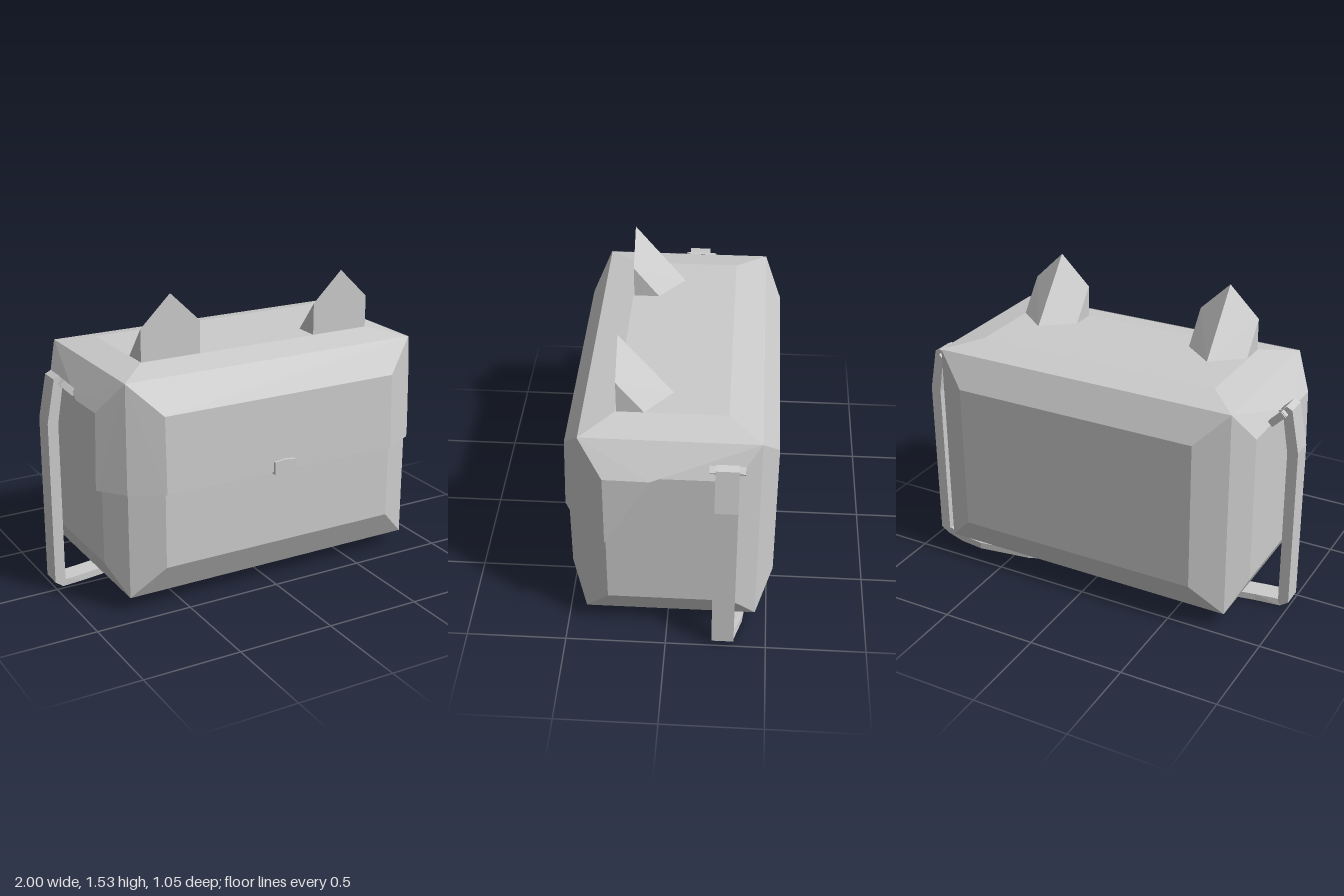
import * as THREE from 'three';

const V = (x, y, z) => new THREE.Vector3(x, y, z);
const material = new THREE.MeshStandardMaterial({ color: 0xcccccc, flatShading: true });
const thinMaterial = new THREE.MeshStandardMaterial({ color: 0xcccccc, flatShading: true, side: THREE.DoubleSide });

// Flat faces (3+ corners each), turned to point away from their centre
function facesToGeometry(groups) {
  const pos = [];
  for (const { faces, centre } of groups) {
    for (const f of faces) {
      for (let i = 1; i < f.length - 1; i++) {
        const [a, b, c] = [f[0], f[i], f[i + 1]];
        const n = b.clone().sub(a).cross(c.clone().sub(a));
        const mid = a.clone().add(b).add(c).divideScalar(3).sub(centre);
        for (const p of n.dot(mid) < 0 ? [a, c, b] : [a, b, c]) pos.push(p.x, p.y, p.z);
      }
    }
  }
  const g = new THREE.BufferGeometry();
  g.setAttribute('position', new THREE.Float32BufferAttribute(pos, 3));
  g.computeVertexNormals();
  return g;
}

function part(name, geometry, mat = material) {
  const m = new THREE.Mesh(geometry, mat);
  m.name = name;
  return m;
}

const C = V(0.03, 0.63, -0.017); // centre of the bag
const HALF = [0.81, 0.55, 0.425];

// Box whose faces each carry a raised (or sunken) inset panel
function bodyGeometry() {
  const at = (axis, d, u, v) => {
    const p = C.clone();
    p.setComponent(axis, p.getComponent(axis) + d);
    p.setComponent((axis + 1) % 3, p.getComponent((axis + 1) % 3) + u);
    p.setComponent((axis + 2) % 3, p.getComponent((axis + 2) % 3) + v);
    return p;
  };
  const panels = [ // axis, offset of panel, half sizes on the next two axes
    [0, 0.89, 0.39, 0.305], [0, -0.89, 0.39, 0.305],
    [1, 0.585, 0.265, 0.65], [1, -0.51, 0.265, 0.65],
    [2, 0.508, 0.65, 0.39], [2, -0.508, 0.65, 0.39],
  ];
  const signs = [[1, 1], [-1, 1], [-1, -1], [1, -1]];
  const faces = [];
  for (const [axis, d, u, v] of panels) {
    const rim = signs.map(([a, b]) => at(axis, Math.sign(d) * HALF[axis], a * HALF[(axis + 1) % 3], b * HALF[(axis + 2) % 3]));
    const inset = signs.map(([a, b]) => at(axis, d, a * u, b * v));
    faces.push(inset);
    for (let i = 0; i < 4; i++) {
      const j = (i + 1) % 4;
      faces.push([rim[i], rim[j], inset[j], inset[i]]);
    }
  }
  return facesToGeometry([{ faces, centre: C }]);
}

// Front flap wrapping round both sides, with a lip closing it to the body
function flapGeometry() {
  const faces = [];
  const P = (s, x, y, z) => V(C.x + s * x, y, z);
  const pts = (s) => ({
    A: P(s, 0.81, 1.182, 0.41), F: P(s, 0.65, 1.02, 0.497), G: P(s, 0.65, 0.63, 0.51),
    K: P(s, 0.818, 0.63, 0.422), B: P(s, 0.912, 1.02, 0.29), D: P(s, 0.915, 1.02, 0.07),
    L: P(s, 0.922, 0.63, 0.29), E: P(s, 0.81, 1.18, -0.44),
    g: P(s, 0.65, 0.63, 0.49), k: P(s, 0.81, 0.63, 0.408), l: P(s, 0.89, 0.63, 0.285), d: P(s, 0.888, 1.02, 0.07),
  });
  const [l, r] = [pts(1), pts(-1)];
  faces.push([l.A, r.A, r.F, l.F], [l.F, r.F, r.G, l.G], [l.G, r.G, r.g, l.g]);
  for (const q of [l, r]) {
    faces.push([q.A, q.F, q.G, q.K], [q.A, q.K, q.L, q.B], [q.B, q.L, q.D],
      [q.A, q.B, q.D, q.E], [q.G, q.K, q.k, q.g], [q.K, q.L, q.l, q.k],
      [q.L, q.D, q.d, q.l], [q.D, q.E, q.d]);
  }
  return facesToGeometry([{ faces, centre: C }]);
}

// Upright gable front with a roof sloping down to a point behind
function earGeometry() {
  const y = 1.21, z = 0.243;
  const front = [V(-0.16, y, z), V(0.16, y, z), V(0.16, 1.38, z), V(0, 1.535, z), V(-0.16, 1.38, z)];
  const tail = V(0, y, -0.02), bl = V(-0.16, y, 0.11), br = V(0.16, y, 0.11);
  const faces = [front, [front[0], front[4], bl], [front[1], front[2], br],
    [front[4], front[3], tail, bl], [front[2], front[3], tail, br], [front[0], front[1], br, tail, bl]];
  return facesToGeometry([{ faces, centre: V(0, 1.3, 0.15) }]);
}

// Flat strap swept through stations: outer x, y, inner x, y, centre z
function strapGeometry() {
  const left = [
    [0.925, 1.125, 0.895, 1.085, -0.285], [0.955, 1.11, 0.912, 1.065, -0.285],
    [0.997, 0.89, 0.942, 0.88, -0.285], [0.997, 0.03, 0.942, 0.035, -0.285],
    [0.955, 0, 0.935, 0.036, -0.285],
  ];
  const right = left.map(([a, b, c, d]) => [-a - 0.003, b, -c - 0.003, d, -0.075]).reverse();
  const wave = [[0.83, -0.325], [0.7, -0.34], [0.42, -0.3], [0.24, -0.23], [0.02, -0.11],
    [-0.22, -0.012], [-0.48, -0.075], [-0.71, -0.11], [-0.825, -0.09]];
  const stations = [...left, ...wave.map(([x, z]) => [x, 0, x, 0.036, z]), ...right];
  const rings = stations.map(([ox, oy, ix, iy, z]) =>
    [V(ox, oy, z - 0.055), V(ox, oy, z + 0.055), V(ix, iy, z + 0.055), V(ix, iy, z - 0.055)]);
  const groups = [];
  for (let i = 0; i < rings.length - 1; i++) {
    const [a, b] = [rings[i], rings[i + 1]];
    const centre = V(0, 0, 0);
    for (const p of [...a, ...b]) centre.addScaledVector(p, 1 / 8);
    const faces = [0, 1, 2, 3].map((j) => [a[j], a[(j + 1) % 4], b[(j + 1) % 4], b[j]]);
    if (i === 0) faces.push(a);
    if (i === rings.length - 2) faces.push(b);
    groups.push({ faces, centre });
  }
  return facesToGeometry(groups);
}

export function createModel() {
  const model = new THREE.Group();
  model.name = 'satchel';
  model.add(part('body', bodyGeometry()));
  model.add(part('flap', flapGeometry(), thinMaterial));
  model.add(part('strap', strapGeometry()));

  for (const s of [1, -1]) {
    const ear = part(s > 0 ? 'leftEar' : 'rightEar', earGeometry());
    ear.position.x = 0.0325 + s * 0.4875;
    model.add(ear);

    // Strap loop: cross bar with two short arms reaching into the body
    const loop = new THREE.Group();
    loop.name = s > 0 ? 'leftStrapLoop' : 'rightStrapLoop';
    const bar = part('loopBar', new THREE.BoxGeometry(0.035, 0.035, 0.15));
    bar.position.x = 0.02;
    loop.add(bar);
    for (const t of [1, -1]) {
      const arm = part('loopArm', new THREE.BoxGeometry(0.09, 0.035, 0.03));
      arm.position.set(-0.01, 0, t * 0.068);
      loop.add(arm);
    }
    loop.position.set(s * 0.9, 1.07, s > 0 ? -0.285 : -0.08);
    loop.rotation.set(0, s > 0 ? 0 : Math.PI, Math.PI / 4 * s);
    if (s < 0) loop.rotation.set(0, Math.PI, Math.PI / 4, 'YXZ');
    model.add(loop);
  }

  // Clasp plate
  const shape = new THREE.Shape([[-0.06, 0.685], [-0.06, 0.62], [0, 0.595], [0.06, 0.62], [0.06, 0.685], [0, 0.692]]
    .map(([x, y]) => new THREE.Vector2(x, y)));
  const clasp = part('clasp', new THREE.ExtrudeGeometry(shape, { depth: 0.035, bevelEnabled: false }));
  clasp.position.set(C.x, 0, 0.49);
  model.add(clasp);
  return model;
}
